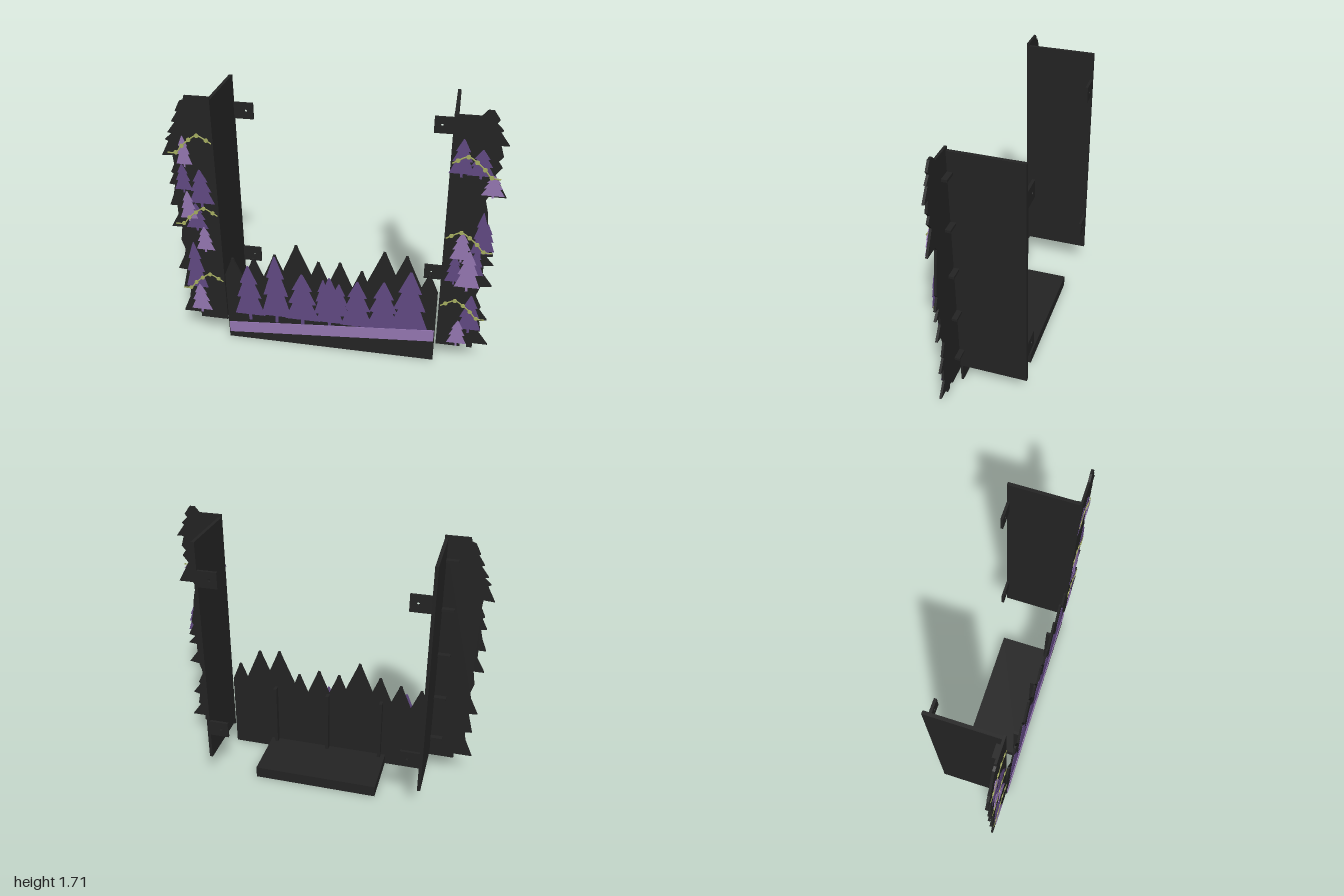
import * as THREE from 'three';

const mat = (color) => new THREE.MeshStandardMaterial({ color });
const black = mat(0x242424), purple = mat(0x624a84), lilac = mat(0x9577b3), olive = mat(0xa8b060);
const FACE = 0.2, FRONT = 0.214; // back and front of the face panels

function add(group, name, geometry, material, x = 0, y = 0, z = 0) {
  const m = new THREE.Mesh(geometry, material);
  m.name = name;
  m.position.set(x, y, z);
  group.add(m);
  return m;
}

const box = (group, name, x0, x1, y0, y1, z0, z1) => add(group, name,
  new THREE.BoxGeometry(x1 - x0, y1 - y0, z1 - z0), black, (x0 + x1) / 2, (y0 + y1) / 2, (z0 + z1) / 2);

// Flat cut-out with a given thickness
function cutout(group, name, points, z, depth, material, holes = []) {
  const shape = new THREE.Shape(points.map(([x, y]) => new THREE.Vector2(x, y)));
  for (const [x, y, r] of holes) shape.holes.push(new THREE.Path().absarc(x, y, r, 0, Math.PI * 2, true));
  const g = new THREE.ExtrudeGeometry(shape, { depth, bevelEnabled: false, curveSegments: 10 });
  return add(group, name, g, material, 0, 0, z);
}

// Three-tiered fir with a short trunk: x, bottom, top, half width
function fir(group, name, [x, y0, y1, w], material, z, depth) {
  const h = y1 - y0;
  const half = [[0.1, 0], [0.1, 0.1], [1, 0.1], [0.55, 0.42], [0.8, 0.42],
    [0.4, 0.68], [0.58, 0.68], [0.06, 0.99]].map(([a, b]) => [a * w, y0 + b * h]);
  const pts = [...half.map(([a, b]) => [x + a, b]), [x, y1],
    ...half.slice().reverse().map(([a, b]) => [x - a, b])];
  cutout(group, name, pts, z, depth, material);
}

// Saw-toothed tree line: highest of a row of steep peaks
function treeLine(peaks, slope, x0, x1) {
  const pts = [[x0, peaks[0][1] - slope * (peaks[0][0] - x0)]];
  peaks.forEach(([x, h], i) => {
    pts.push([x - 0.015, h - 0.03], [x - 0.007, h - 0.004], [x + 0.007, h - 0.004], [x + 0.015, h - 0.03]);
    const next = peaks[i + 1];
    if (!next) return;
    const d = (h - next[1] + slope * (next[0] - x)) / (2 * slope);
    pts.push([x + d, h - slope * d]);
  });
  const [lx, lh] = peaks[peaks.length - 1];
  pts.push([x1, lh - slope * (x1 - lx)]);
  return pts;
}

// Outer silhouettes of the two side panels, top to bottom
const leftEdge = [[0.676, 1.675], [0.82, 1.675], [0.85, 1.71], [0.88, 1.71], [0.915, 1.66], [0.9, 1.64],
  [0.94, 1.6], [0.925, 1.59], [0.98, 1.515], [0.935, 1.515], [0.955, 1.45], [0.93, 1.42], [0.955, 1.385],
  [0.92, 1.34], [0.995, 1.205], [0.9, 1.205], [0.885, 1.18], [0.905, 1.1], [0.915, 1.01], [0.937, 0.915],
  [0.925, 0.895], [0.963, 0.82], [0.92, 0.81], [0.97, 0.755], [0.915, 0.75], [0.915, 0.69], [0.975, 0.61],
  [0.91, 0.6], [0.888, 0.53], [0.925, 0.45], [0.915, 0.435], [0.97, 0.36], [0.925, 0.35], [0.94, 0.275],
  [0.925, 0.265], [0.99, 0.175], [0.9, 0.175], [0.9, 0.14], [0.865, 0.14], [0.865, 0.165], [0.825, 0.165],
  [0.825, 0.14], [0.676, 0.14]];
const rightEdge = [[-0.676, 1.675], [-0.825, 1.675], [-0.83, 1.65], [-0.855, 1.64], [-0.885, 1.58],
  [-0.875, 1.575], [-0.915, 1.515], [-0.895, 1.51], [-0.945, 1.445], [-0.92, 1.44], [-0.965, 1.4], [-0.945, 1.39],
  [-0.995, 1.295], [-0.93, 1.3], [-0.925, 1.245], [-0.95, 1.19], [-0.935, 1.18], [-0.97, 1.11], [-0.935, 1.105],
  [-0.95, 1.04], [-0.98, 0.965], [-0.935, 0.965], [-0.935, 0.905], [-0.985, 0.815], [-0.92, 0.815],
  [-0.935, 0.72], [-0.915, 0.655], [-0.925, 0.61], [-0.975, 0.505], [-0.92, 0.5], [-0.955, 0.36], [-0.91, 0.355],
  [-0.92, 0.29], [-0.97, 0.175], [-0.855, 0.175], [-0.855, 0.14], [-0.676, 0.14]];

const darkFirs = [
  [-0.52, 0.16, 0.575, 0.1], [-0.345, 0.16, 0.665, 0.1], [-0.175, 0.165, 0.555, 0.113], [0, 0.17, 0.55, 0.09],
  [0.175, 0.165, 0.545, 0.105], [0.34, 0.165, 0.56, 0.11], [0.5, 0.165, 0.655, 0.125],
  [-0.04, 0.24, 0.53, 0.06], [0.06, 0.24, 0.51, 0.07],
  [-0.775, 0.97, 1.22, 0.08], [-0.88, 1.06, 1.25, 0.055], [-0.82, 0.8, 0.99, 0.07], [-0.86, 0.34, 0.71, 0.072],
  [0.74, 1.31, 1.54, 0.07], [0.845, 1.31, 1.485, 0.075], [0.885, 0.8, 1.1, 0.055], [0.75, 0.6, 0.8, 0.055],
  [0.915, 0.83, 1.03, 0.05], [0.865, 0.25, 0.53, 0.075], [0.87, 0.66, 0.85, 0.05]];
const lightFirs = [
  [-0.86, 1.23, 1.43, 0.048], [-0.865, 0.865, 1.07, 0.055], [-0.78, 0.65, 0.83, 0.06], [-0.845, 0.18, 0.4, 0.07],
  [0.92, 1.2, 1.335, 0.065], [0.78, 0.76, 0.96, 0.065], [0.83, 0.56, 0.84, 0.075], [0.8, 0.145, 0.335, 0.06]];

export function createModel() {
  const model = new THREE.Group();

  // Shelf and front fascia with its tree line
  box(model, 'shelf', -0.4, 0.4, 0, 0.075, -0.153, FACE);
  const peaks = [[-0.615, 0.62], [-0.48, 0.635], [-0.345, 0.675], [-0.207, 0.76], [-0.07, 0.655], [0.065, 0.665],
    [0.2, 0.62], [0.335, 0.775], [0.47, 0.76], [0.61, 0.645]];
  cutout(model, 'frontFascia', [[-0.67, 0.005], ...treeLine(peaks, 2.3, -0.67, 0.665), [0.665, 0.005]],
    FACE, FRONT - FACE, black);
  for (const x of [-0.36, 0, 0.36]) box(model, 'fasciaRib', x - 0.01, x + 0.01, 0.075, 0.5, 0.163, FACE);
  cutout(model, 'ribbon', [[-0.665, 0.045], [0.66, 0.155], [0.66, 0.24], [-0.665, 0.125]],
    FRONT, 0.005, lilac);

  // Jagged side panels
  cutout(model, 'leftPanel', leftEdge, FACE, FRONT - FACE, black);
  cutout(model, 'rightPanel', rightEdge, FACE, FRONT - FACE, black);

  for (const s of [1, -1]) {
    const side = new THREE.Group();
    side.name = s > 0 ? 'leftSide' : 'rightSide';
    model.add(side);
    const span = (a, b) => (s > 0 ? [a, b] : [-b, -a]);

    // Side plate, stiffening tabs and wall brackets
    box(side, 'sidePlate', ...span(0.676, 0.696), 0.16, 1.657, -0.22, FACE);
    for (let i = 0; i < 5; i++) {
      const y = 0.29 + i * 0.31;
      box(side, 'tab', ...span(0.696, 0.772), y - 0.008, y + 0.008, 0.168, FACE);
    }
    for (const y of [1.433, 0.39]) {
      const [a, b] = span(0.555, 0.69);
      cutout(side, 'wallBracket', [[a, y - 0.052], [b, y - 0.052], [b, y + 0.052], [a, y + 0.052]],
        -0.22, 0.016, black, [[s * 0.602, y, 0.009]]);
    }

    // Beaded garlands
    for (const y of [1.438, 0.96, 0.482]) {
      const path = [[0.685, -0.045], [0.715, -0.026], [0.77, 0], [0.82, -0.03], [0.865, -0.07],
        [0.905, -0.115], [0.955, -0.12]].map(([x, d]) => new THREE.Vector3(s * x, y + d, 0));
      const cord = new THREE.TubeGeometry(new THREE.CatmullRomCurve3(path), 30, 0.005, 6);
      cord.scale(1, 1, 0.4);
      add(side, 'garlandCord', cord, olive, 0, 0, 0.218);
      for (const p of path.slice(1, 6)) {
        const bead = new THREE.CylinderGeometry(0.013, 0.013, 0.006, 14);
        bead.rotateX(Math.PI / 2);
        add(side, 'garlandBead', bead, olive, p.x, p.y, 0.2175);
      }
    }
  }

  // Coloured firs laid over the face panels
  for (const t of darkFirs) fir(model, 'darkFir', t, purple, FRONT, 0.002);
  for (const t of lightFirs) fir(model, 'lightFir', t, lilac, FRONT, 0.004);
  return model;
}
